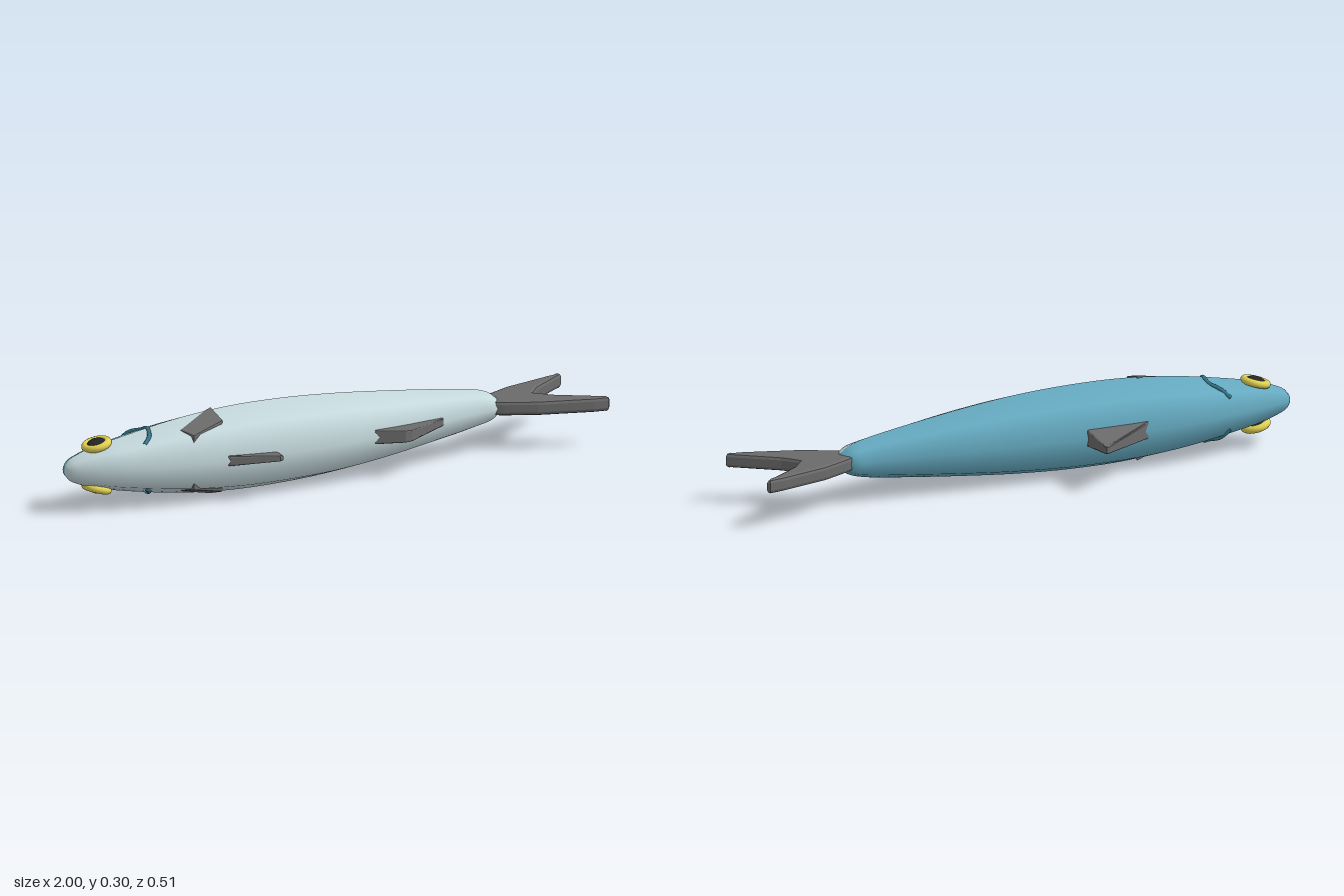
import * as THREE from 'three';

const MID = 0.15; // height of the body's plane of symmetry
const mat = (name, color, side = THREE.FrontSide) => {
  const m = new THREE.MeshStandardMaterial({ color, side });
  m.name = name;
  return m;
};

// body stations: x, back z, belly z, half thickness in y
const STATIONS = [
  [-1, 0.015, 0.048, 0.018], [-0.975, -0.005, 0.07, 0.042], [-0.9, -0.032, 0.11, 0.07],
  [-0.8, -0.058, 0.148, 0.092], [-0.6, -0.095, 0.187, 0.126], [-0.4, -0.111, 0.202, 0.145],
  [-0.2, -0.115, 0.204, 0.147], [0, -0.109, 0.194, 0.137], [0.2, -0.094, 0.162, 0.117],
  [0.4, -0.071, 0.112, 0.092], [0.55, -0.058, 0.076, 0.07], [0.62, -0.055, 0.066, 0.052],
  [0.66, -0.03, 0.04, 0.026],
];

// smooth sections along the body: x, centre z, z radius, y radius
function makeSections(count) {
  const spans = new THREE.CatmullRomCurve3(STATIONS.map(s => new THREE.Vector3(s[0], s[1], s[2])), false, 'catmullrom');
  const thick = new THREE.CatmullRomCurve3(STATIONS.map(s => new THREE.Vector3(s[0], s[3], 0)), false, 'catmullrom');
  return Array.from({ length: count + 1 }, (_, i) => {
    const a = spans.getPoint(i / count), b = thick.getPoint(i / count);
    return { x: a.x, zc: (a.y + a.z) / 2, zr: (a.z - a.y) / 2, yr: b.y };
  });
}

// eight-sided skin; group 0 is the belly half, group 1 the back half
function bodyGeometry(sections) {
  const N = 8, pos = [], halves = [[], []];
  for (const s of sections) {
    for (let k = 0; k < N; k++) {
      const a = (k / N) * Math.PI * 2;
      pos.push(s.x, MID + s.yr * Math.sin(a), s.zc + s.zr * Math.cos(a));
    }
  }
  const last = sections.length - 1, nose = sections.length * N, end = nose + 1;
  pos.push(sections[0].x - 0.002, MID, sections[0].zc, sections[last].x + 0.004, MID, sections[last].zc);
  for (let k = 0; k < N; k++) {
    const k2 = (k + 1) % N, out = halves[k < 2 || k > 5 ? 0 : 1];
    out.push(nose, k, k2, end, last * N + k2, last * N + k);
    for (let i = 0; i < last; i++) {
      const a = i * N + k, b = a + N, c = i * N + k2, d = c + N;
      out.push(a, b, c, b, d, c);
    }
  }
  const g = new THREE.BufferGeometry();
  g.setAttribute('position', new THREE.Float32BufferAttribute(pos, 3));
  g.setIndex([...halves[0], ...halves[1]]);
  g.addGroup(0, halves[0].length, 0);
  g.addGroup(halves[0].length, halves[1].length, 1);
  g.computeVertexNormals();
  return g;
}

// height of the upper body surface over a point (x, z)
function surfaceY(sections, x, z) {
  const s = sections.reduce((p, q) => (Math.abs(q.x - x) < Math.abs(p.x - x) ? q : p));
  const u = Math.min(1, Math.abs(z - s.zc) / s.zr), r = Math.SQRT1_2;
  const v = u < r ? 1 - (u / r) * (1 - r) : ((1 - u) / (1 - r)) * r;
  return MID + s.yr * v;
}

// bevelled plate from an outline of [x, z] points, centred on y = 0
function plate(points, thickness, bevel) {
  const shape = new THREE.Shape(points.map(([x, z]) => new THREE.Vector2(x, -z)));
  const g = new THREE.ExtrudeGeometry(shape, {
    depth: thickness - 2 * bevel, bevelEnabled: true, bevelThickness: bevel,
    bevelSize: bevel, bevelOffset: -bevel, bevelSegments: 2,
  });
  return g.translate(0, 0, bevel - thickness / 2).rotateX(-Math.PI / 2);
}

// replaces each y by a rule of (x, y, z)
function reshape(g, rule) {
  const p = g.attributes.position;
  for (let i = 0; i < p.count; i++) p.setY(i, rule(p.getX(i), p.getY(i), p.getZ(i)));
  g.computeVertexNormals();
  return g;
}

export function createModel() {
  const root = new THREE.Group();
  root.name = 'fish';
  const silver = mat('silver belly', 0xc6dade);
  const blue = mat('blue back', 0x66abc2);
  const grey = mat('grey fin', 0x6c6b6b);
  const yellow = mat('yellow eye', 0xe2d254);
  const black = mat('black pupil', 0x262626);
  const teal = mat('dark teal gill', 0x34788c);
  const add = (name, geometry, material, parent = root) => {
    const m = new THREE.Mesh(geometry, material);
    m.name = name;
    parent.add(m);
    return m;
  };

  // body
  const sections = makeSections(48);
  add('body', bodyGeometry(sections), [silver, blue]);

  // forked tail
  add('tailFin', plate([
    [0.615, -0.03], [0.66, -0.058], [0.76, -0.107], [0.94, -0.158], [0.993, -0.168], [1, -0.158],
    [0.85, -0.05], [0.805, 0.004], [0.85, 0.058], [1, 0.172], [0.993, 0.182], [0.94, 0.174],
    [0.76, 0.118], [0.66, 0.068], [0.615, 0.04],
  ], 0.05, 0.012), grey).position.y = MID;

  // fins on the midline, each thinner towards its tip
  const midFins = [
    ['dorsalFin', [[-0.44, -0.09], [-0.215, -0.252], [-0.202, -0.256], [-0.198, -0.24], [-0.2, -0.09]], 0.06,
      (x, z) => 1 - 0.55 * THREE.MathUtils.clamp((-z - 0.1) / 0.15, 0, 1)],
    ['pelvicFin', [[-0.48, 0.18], [-0.46, 0.199], [-0.3, 0.25], [-0.286, 0.245], [-0.28, 0.18]], 0.036,
      x => 1 - 0.45 * THREE.MathUtils.clamp((x + 0.46) / 0.18, 0, 1)],
    ['analFin', [[0.075, 0.145], [0.1, 0.168], [0.2, 0.214], [0.225, 0.212], [0.4, 0.113], [0.41, 0.09], [0.2, 0.13]], 0.05,
      x => 1 - 0.45 * THREE.MathUtils.clamp((x - 0.1) / 0.3, 0, 1)],
  ];
  for (const [name, outline, thickness, taper] of midFins) {
    add(name, reshape(plate(outline, thickness, 0.006), (x, y, z) => MID + y * taper(x, z)), grey);
  }

  // parts on both flanks, built on the upper one and turned over for the lower
  const gillPath = new THREE.CatmullRomCurve3(
    [[-0.755, -0.042], [-0.725, -0.025], [-0.7, 0.01], [-0.695, 0.045], [-0.71, 0.088], [-0.745, 0.118]]
      .map(([x, z]) => new THREE.Vector3(x, surfaceY(sections, x, z) + 0.001, z)));
  const finOutline = [[-0.603, 0.105], [-0.578, 0.157], [-0.455, 0.126], [-0.448, 0.12], [-0.448, 0.038], [-0.47, 0.043]];
  for (const side of [1, -1]) {
    const flank = new THREE.Group();
    flank.name = side > 0 ? 'upperFlank' : 'lowerFlank';
    flank.scale.y = side;
    flank.position.y = side > 0 ? 0 : 2 * MID;
    root.add(flank);

    add('pectoralFin', reshape(plate(finOutline, 0.03, 0.006),
      (x, y, z) => 0.284 + y + 0.15 * (x + 0.45) - 0.3 * (z - 0.04)), grey, flank);
    add('gill', new THREE.TubeGeometry(gillPath, 24, 0.007, 8), teal, flank);

    const eye = new THREE.Group();
    eye.name = 'eye';
    eye.position.set(-0.88, 0.225, 0.031);
    eye.rotation.z = 0.26;
    flank.add(eye);
    add('eyeRing', new THREE.TorusGeometry(0.039, 0.013, 12, 32).rotateX(Math.PI / 2), yellow, eye);
    add('pupil', new THREE.SphereGeometry(0.034, 24, 14).scale(1, 0.55, 1), black, eye);
  }
  return root;
}
